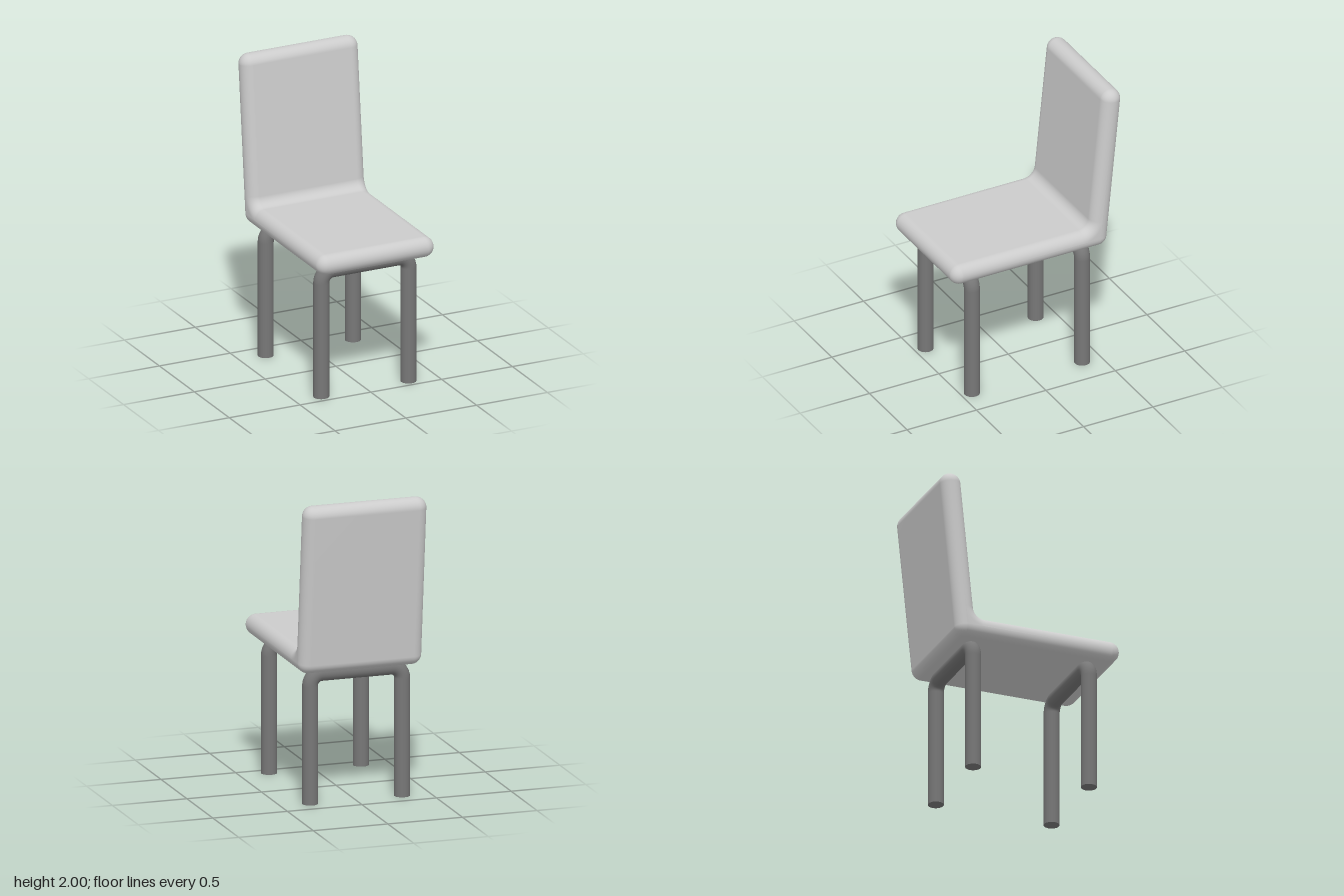
import * as THREE from 'three';
import { mergeVertices } from 'three/addons/utils/BufferGeometryUtils.js';

const R = 0.068;       // half thickness of the shell
const FILLET = 0.07;   // radius of the inner corner between seat and back
const HALF = 0.345;    // half width of the shell without its rounded sides

// Rounded L-shaped shell: profile loops at offset d from the centre line, lofted along x
function shellGeometry() {
  const front = [0.545, 0.948], corner = [-0.443, 0.948], top = [-0.542, 1.932]; // [z, y]
  const lean = Math.atan2(corner[0] - top[0], top[1] - corner[1]);
  const half = (Math.PI / 2 + lean) / 2;
  const reach = (FILLET + R) / Math.sin(half);
  const inner = [corner[0] + reach * Math.cos(half), corner[1] + reach * Math.sin(half)];
  const N = 12, PI = Math.PI;

  const profile = (d) => {
    const pts = [];
    const arc = ([z, y], r, a0, a1) => {
      for (let i = 0; i <= N; i++) {
        const a = a0 + (a1 - a0) * i / N;
        pts.push([z + r * Math.cos(a), y + r * Math.sin(a)]);
      }
    };
    arc(front, d, -PI / 2, PI / 2);
    arc(inner, FILLET + R - d, -PI / 2, lean - PI);
    arc(top, d, lean, lean + PI);
    arc(corner, d, lean + PI, 1.5 * PI);
    return pts;
  };

  // Sections run over the rounded left and right sides
  const sections = [];
  const S = 10;
  for (const side of [-1, 1]) {
    for (let i = 0; i <= S; i++) {
      const a = (side < 0 ? S - i : i) / S * PI / 2;
      sections.push([side * (HALF + R * Math.sin(a)), R * Math.cos(a)]);
    }
  }
  const positions = [], index = [];
  const M = 4 * (N + 1);
  for (const [x, d] of sections) for (const [z, y] of profile(d)) positions.push(x, y, z);
  for (let s = 0; s < sections.length - 1; s++) {
    for (let i = 0; i < M; i++) {
      const j = (i + 1) % M, a = s * M, b = a + M;
      index.push(a + i, b + i, b + j, a + i, b + j, a + j);
    }
  }
  // Small flat web beside the inner fillet at each end
  const last = (sections.length - 1) * M, k = 3 * (N + 1);
  for (let i = N + 1; i < 2 * N + 1; i++) {
    index.push(k, i, i + 1, last + k, last + i + 1, last + i);
  }
  const geo = new THREE.BufferGeometry();
  geo.setAttribute('position', new THREE.Float32BufferAttribute(positions, 3));
  geo.setIndex(index);
  const merged = mergeVertices(geo, 1e-5);
  merged.computeVertexNormals();
  return merged;
}

// Bent tube: two legs joined by a crossbar, with flat feet
function legFrame(name, z, material) {
  const group = new THREE.Group();
  group.name = name;
  const x = 0.308, y = 0.851, bend = 0.075, r = 0.051, k = bend * 0.4477;
  const v = (px, py) => new THREE.Vector3(px, py, 0);
  const path = new THREE.CurvePath();
  path.add(new THREE.LineCurve3(v(-x, 0), v(-x, y - bend)));
  path.add(new THREE.CubicBezierCurve3(v(-x, y - bend), v(-x, y - k), v(-x + k, y), v(-x + bend, y)));
  path.add(new THREE.LineCurve3(v(-x + bend, y), v(x - bend, y)));
  path.add(new THREE.CubicBezierCurve3(v(x - bend, y), v(x - k, y), v(x, y - k), v(x, y - bend)));
  path.add(new THREE.LineCurve3(v(x, y - bend), v(x, 0)));
  const tube = new THREE.Mesh(new THREE.TubeGeometry(path, 140, r, 24), material);
  tube.name = 'legTube';
  group.add(tube);
  for (const side of [-1, 1]) {
    const foot = new THREE.Mesh(new THREE.CircleGeometry(r, 24).rotateX(Math.PI / 2), material);
    foot.name = side < 0 ? 'rightFoot' : 'leftFoot';
    foot.position.x = side * x;
    group.add(foot);
  }
  group.position.set(-0.006, 0, z);
  return group;
}

export function createModel() {
  const model = new THREE.Group();
  model.name = 'chair';
  const shellMaterial = new THREE.MeshStandardMaterial({ color: 0xcccccc });
  const legMaterial = new THREE.MeshStandardMaterial({ color: 0x777777 });

  const shell = new THREE.Mesh(shellGeometry(), shellMaterial);
  shell.name = 'seatAndBack';
  model.add(shell);

  model.add(legFrame('frontLegs', 0.426, legMaterial));
  model.add(legFrame('backLegs', -0.368, legMaterial));
  return model;
}
